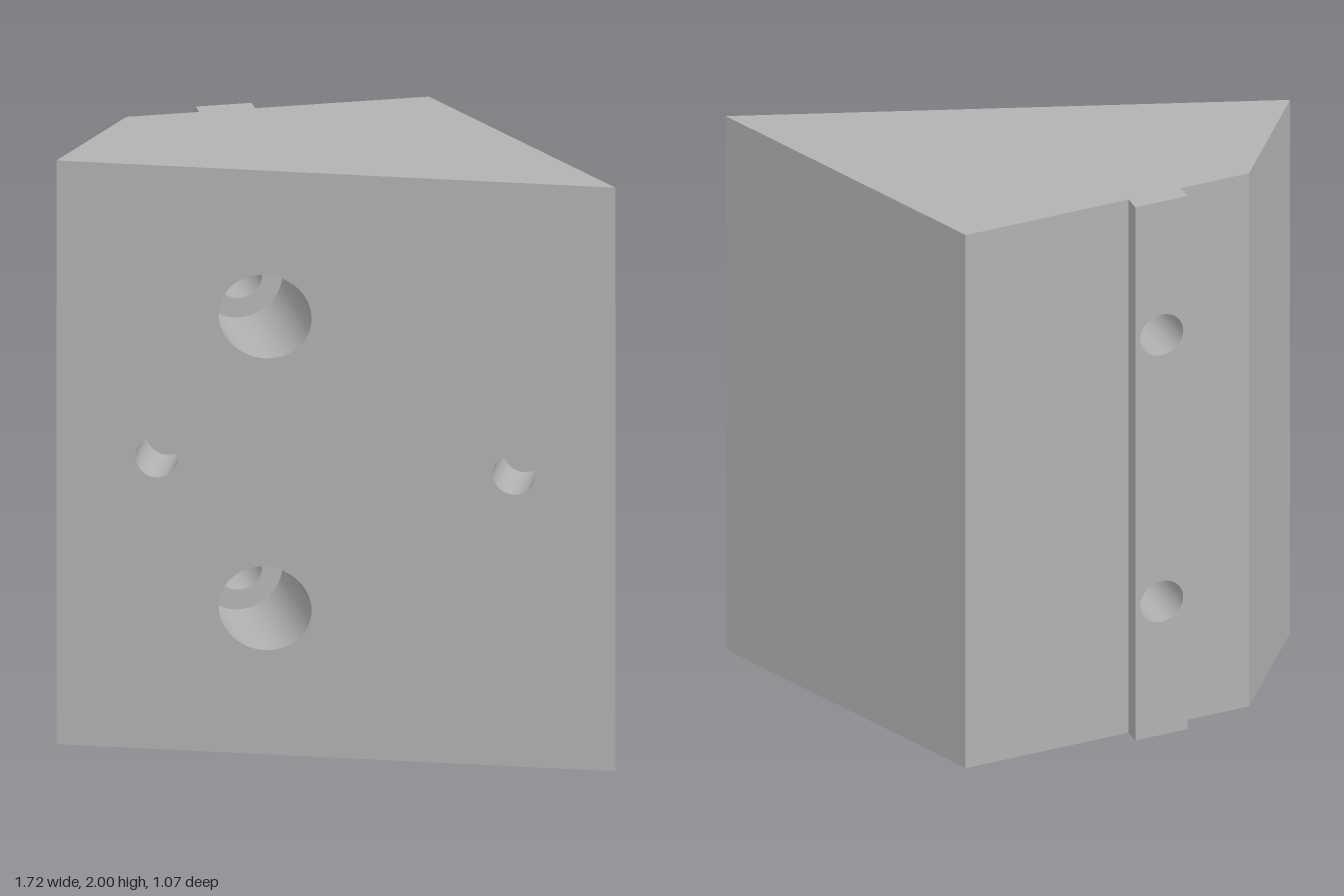
import * as THREE from 'three';
import { mergeGeometries } from 'three/addons/utils/BufferGeometryUtils.js';

const HEIGHT = 2, SEG = 48;
const BORE_X = -0.218, BORE_R = 0.143, THROUGH_R = 0.076, FLOOR_Z = -0.28, BACK_Z = -0.535;
const PIN_R = 0.069, PIN_DEPTH = 0.228;

// Plan outline as [x, z]; the first edge is the sloping front face
const OUTLINE = [
  [-0.86, -0.1], [0.86, 0.53], [0.45, -0.48], [-0.125, -0.48],
  [-0.125, BACK_Z], [-0.31, BACK_Z], [-0.31, -0.48], [-0.55, -0.48],
];
const [A, B] = OUTLINE;
const SLOPE = (B[1] - A[1]) / (B[0] - A[0]);
const ANGLE = Math.atan(SLOPE);
const frontZ = (x) => A[1] + (x - A[0]) * SLOPE;
const alongFront = (x) => (x - A[0]) / Math.cos(ANGLE);

// Moves a geometry from wall space (u along the edge, y up, z outward) into place
function place(geometry, a, b) {
  return geometry.rotateY(Math.atan2(a[1] - b[1], b[0] - a[0])).translate(a[0], 0, a[1]);
}

// Upright wall along an edge, with elliptical holes [u, y, rx, ry]
function wall(a, b, holes = []) {
  const length = Math.hypot(b[0] - a[0], b[1] - a[1]);
  const shape = new THREE.Shape([[0, 0], [length, 0], [length, HEIGHT], [0, HEIGHT]]
    .map((p) => new THREE.Vector2(...p)));
  for (const [u, y, rx, ry] of holes) {
    shape.holes.push(new THREE.Path().absellipse(u, y, rx, ry, 0, Math.PI * 2, true));
  }
  return place(new THREE.ShapeGeometry(shape, SEG / 2), a, b);
}

// Flat end of the block
function cap(top) {
  const s = top ? -1 : 1;
  const shape = new THREE.Shape(OUTLINE.map(([x, z]) => new THREE.Vector2(x, s * z)));
  return new THREE.ShapeGeometry(shape).rotateX(s * Math.PI / 2).translate(0, top ? HEIGHT : 0, 0);
}

// Inward-facing tube along z; zFront gives the z of the front rim at each x
function holeWall(x, y, r, zFront, zBack) {
  const g = new THREE.CylinderGeometry(r, r, 1, SEG, 1, true).rotateX(Math.PI / 2).translate(x, y, 0);
  const p = g.attributes.position, n = g.attributes.normal;
  for (let i = 0; i < p.count; i++) {
    p.setZ(i, p.getZ(i) > 0 ? zFront(p.getX(i)) : zBack);
    n.setXYZ(i, -n.getX(i), -n.getY(i), -n.getZ(i));
  }
  g.index.array.reverse();
  return g;
}

export function createModel() {
  const group = new THREE.Group();
  const grey = new THREE.MeshStandardMaterial({ color: 0xb2b2b2 });
  grey.name = 'grey metal';
  const add = (name, parts) => {
    const mesh = new THREE.Mesh(mergeGeometries(parts), grey);
    mesh.name = name;
    group.add(mesh);
  };

  const boreYs = [0.5, 1.5], pinXs = [-0.552, 0.547];

  // Wedge block with the key rail on its back
  const frontHoles = [
    ...boreYs.map((y) => [alongFront(BORE_X), y, BORE_R / Math.cos(ANGLE), BORE_R]),
    ...pinXs.map((x) => [alongFront(x), 1, PIN_R, PIN_R]),
  ];
  const railHoles = boreYs.map((y) => [-0.125 - BORE_X, y, THROUGH_R, THROUGH_R]);
  const walls = OUTLINE.map((a, i) =>
    wall(a, OUTLINE[(i + 1) % OUTLINE.length], i === 0 ? frontHoles : i === 4 ? railHoles : []));
  add('wedgeBlock', [...walls, cap(true), cap(false)]);

  // Counterbored screw holes running straight through to the rail
  boreYs.forEach((y, i) => add(i ? 'upperScrewHole' : 'lowerScrewHole', [
    holeWall(BORE_X, y, BORE_R, frontZ, FLOOR_Z),
    new THREE.RingGeometry(THROUGH_R, BORE_R, SEG).translate(BORE_X, y, FLOOR_Z),
    holeWall(BORE_X, y, THROUGH_R, () => FLOOR_Z, BACK_Z),
  ]));

  // Blind pin holes square to the sloping face
  pinXs.forEach((x, i) => add(i ? 'leftPinHole' : 'rightPinHole', [
    holeWall(alongFront(x), 1, PIN_R, () => 0, -PIN_DEPTH),
    new THREE.CircleGeometry(PIN_R, SEG).translate(alongFront(x), 1, -PIN_DEPTH),
  ].map((g) => place(g, A, B))));

  return group;
}
